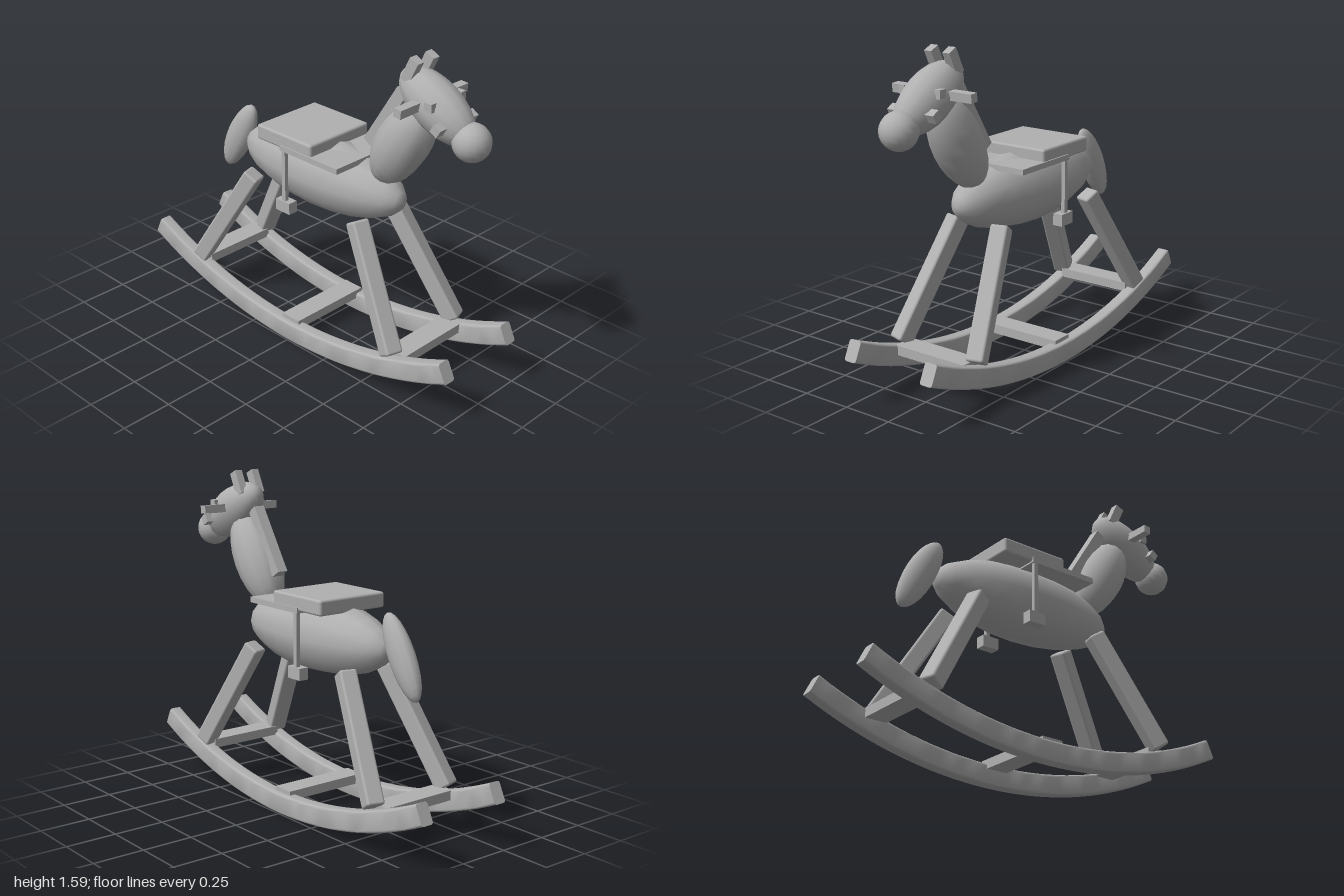
import * as THREE from 'three';
import { toCreasedNormals } from 'three/addons/utils/BufferGeometryUtils.js';
import { RoundedBoxGeometry } from 'three/addons/geometries/RoundedBoxGeometry.js';

export function createModel() {
  const model = new THREE.Group();
  const grey = new THREE.MeshStandardMaterial({ color: 0xb0b0b0 });
  grey.name = 'plain grey';

  const add = (name, geometry, [x, y, z], tilt = 0) => {
    const mesh = new THREE.Mesh(geometry, grey);
    mesh.name = name;
    mesh.position.set(x, y, z);
    mesh.rotation.x = tilt;
    model.add(mesh);
    return mesh;
  };
  const box = (w, h, d) => new THREE.BoxGeometry(w, h, d);
  // Faceted ellipsoid whose poles lie on its long y axis
  const blob = (rx, ry, rz) => new THREE.SphereGeometry(1, 12, 12).scale(rx, ry, rz);

  // Rocker: rounded bar, extruded straight and then bent into an arc
  const R = 2.335, sweep = 0.443, w = 0.033, t = 0.1, r = 0.014;
  const section = new THREE.Shape();
  section.moveTo(-w + r, 0).lineTo(w - r, 0).quadraticCurveTo(w, 0, w, r)
    .lineTo(w, t - r).quadraticCurveTo(w, t, w - r, t)
    .lineTo(-w + r, t).quadraticCurveTo(-w, t, -w, t - r)
    .lineTo(-w, r).quadraticCurveTo(-w, 0, -w + r, 0);
  const rocker = new THREE.ExtrudeGeometry(section, { depth: 2, steps: 32, bevelEnabled: false, curveSegments: 4 });
  const p = rocker.attributes.position;
  for (let i = 0; i < p.count; i++) {
    const a = (p.getZ(i) - 1) * sweep, radius = R - p.getY(i);
    p.setXYZ(i, p.getX(i), R + 0.003 - radius * Math.cos(a), radius * Math.sin(a));
  }
  const rockerGeometry = toCreasedNormals(rocker, 0.6);

  // Rockers, legs, stirrups and small head details, mirrored left and right
  for (const s of [1, -1]) {
    const side = s > 0 ? 'left' : 'right';
    add(side + 'Rocker', rockerGeometry, [s * 0.218, 0, 0]);

    for (const f of [1, -1]) {
      const top = new THREE.Vector3(s * 0.127, 0.752, f * 0.346);
      const foot = new THREE.Vector3(s * 0.222, 0.216, f * 0.66);
      const leg = add(side + (f > 0 ? 'FrontLeg' : 'BackLeg'),
        new RoundedBoxGeometry(0.085, 0.085, top.distanceTo(foot), 2, 0.012),
        top.clone().add(foot).multiplyScalar(0.5).toArray());
      leg.lookAt(foot);
    }

    add(side + 'StirrupStrap', box(0.02, 0.29, 0.022), [s * 0.187, 0.86, -0.065]);
    add(side + 'Stirrup', box(0.05, 0.058, 0.09), [s * 0.18, 0.703, -0.065]);
    add(side + 'Ear', box(0.04, 0.12, 0.05), [s * 0.05, 1.531, 0.581], 0.45);
    add(side + 'Eye', box(0.03, 0.04, 0.04), [s * 0.098, 1.42, 0.727]);
  }

  // Cross bars between the rockers
  add('frontCrossBar', box(0.4, 0.046, 0.112), [0, 0.198, 0.667]);
  add('middleCrossBar', box(0.45, 0.046, 0.112), [0, 0.1, 0]);
  add('backCrossBar', box(0.4, 0.046, 0.112), [0, 0.198, -0.667]);

  // Body, neck, head and tail
  add('body', blob(0.168, 0.51, 0.181), [0, 0.857, 0.003], Math.PI / 2);
  add('neck', blob(0.112, 0.26, 0.127), [0, 1.155, 0.5], 0.55);
  add('mane', box(0.056, 0.36, 0.06), [0, 1.254, 0.41], 0.563);
  add('head', blob(0.106, 0.222, 0.115), [0, 1.386, 0.686], -1.05);
  add('muzzle', new THREE.SphereGeometry(0.087, 16, 12), [0, 1.276, 0.88]);
  add('tail', blob(0.05, 0.213, 0.075), [0, 0.845, -0.587], 0.5);

  // Handle through the head and bit through the mouth
  add('handle', box(0.44, 0.04, 0.04), [0, 1.404, 0.652], 0.08);
  add('bit', box(0.255, 0.042, 0.042), [0, 1.335, 0.782], 0.52);

  // Saddle
  add('saddlePlate', box(0.4, 0.027, 0.37), [0, 1.002, 0.1]);
  add('saddleSeat', new RoundedBoxGeometry(0.386, 0.075, 0.36, 2, 0.012), [0, 1.034, -0.068]);

  return model;
}
